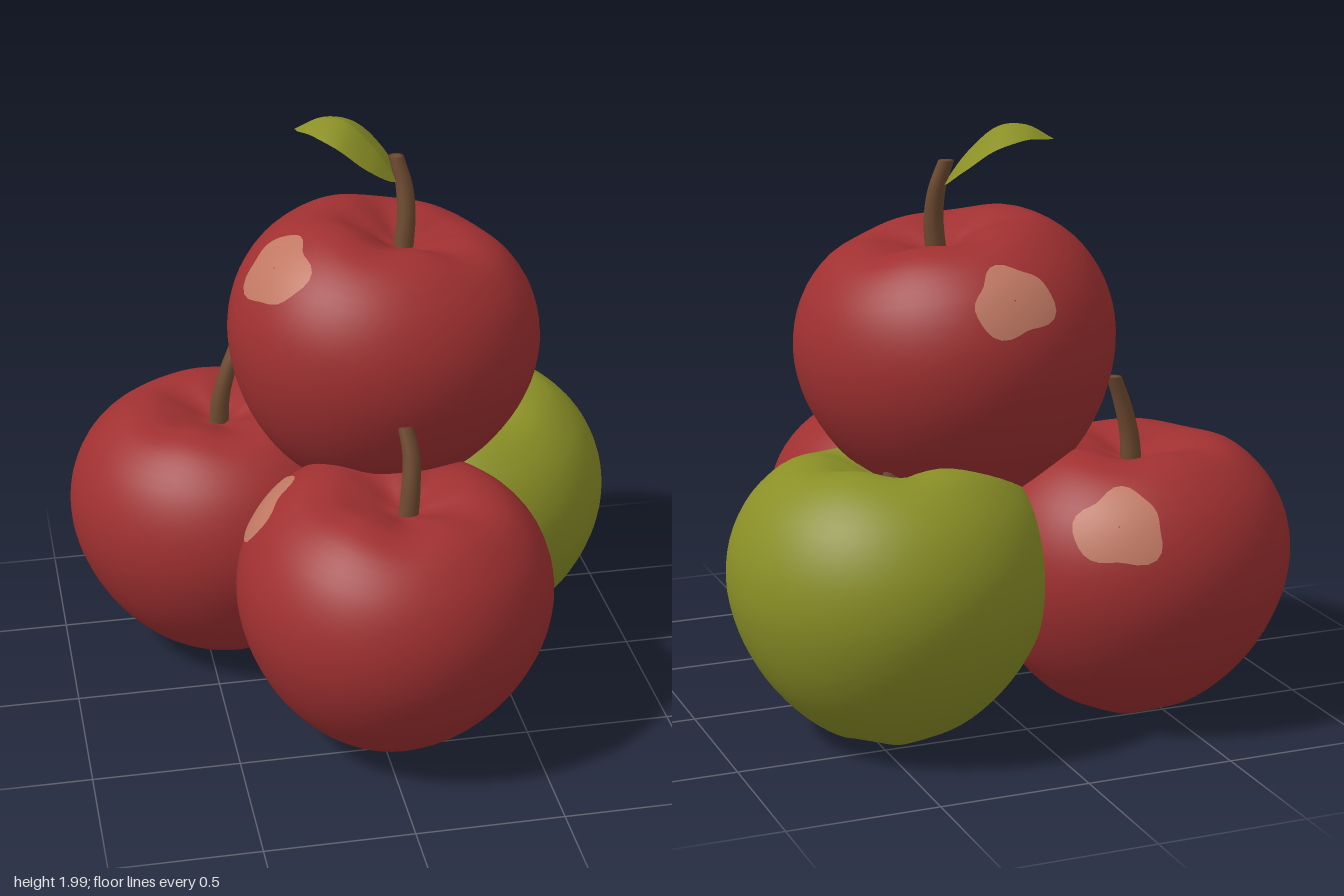
import * as THREE from 'three';
import { ParametricGeometry } from 'three/addons/geometries/ParametricGeometry.js';

const material = (name, color, side = THREE.FrontSide) => {
  const m = new THREE.MeshStandardMaterial({ color, side });
  m.name = name;
  return m;
};

const V = (p) => new THREE.Vector3(...p);
const MID = 0.55; // height of the widest ring above the apple's base

// Half outline of an apple, from the stem dimple down to the bottom dimple
const outline = new THREE.SplineCurve([
  [0.003, 0.86], [0.06, 0.868], [0.14, 0.9], [0.25, 0.925], [0.36, 0.893], [0.465, 0.79], [0.525, 0.65],
  [0.532, 0.5], [0.49, 0.35], [0.41, 0.21], [0.3, 0.095], [0.19, 0.03], [0.1, 0.025], [0.003, 0.06],
].map(([r, y]) => new THREE.Vector2(r, y)));

// Skin point at angle a and outline position t, with soft lobes at both ends
function skin(a, t, phase, target) {
  const p = outline.getPoint(Math.min(Math.max(t, 0), 1));
  const top = Math.exp(-(((t - 0.2) / 0.11) ** 2));
  const bottom = Math.exp(-(((t - 0.9) / 0.07) ** 2));
  const r = p.x * (1 + 0.01 * Math.cos(3 * a + phase));
  const y = p.y - MID + (0.008 * top + 0.01 * bottom) * Math.cos(5 * a + phase);
  return target.set(r * Math.cos(a), y, r * Math.sin(a));
}

const appleGeometry = (phase) =>
  new ParametricGeometry((u, v, p) => skin(u * Math.PI * 2, v, phase, p), 64, 48);

// Thin irregular blotch lying on the skin
const blotchGeometry = ({ a, t, da, dt }, phase) =>
  new ParametricGeometry((u, v, p) => {
    const k = -u * Math.PI * 2;
    const rho = (0.02 + 0.98 * v) * (1 + 0.1 * Math.cos(3 * k + a) + 0.06 * Math.cos(5 * k + 1));
    skin(a + da * rho * Math.cos(k), t + dt * rho * Math.sin(k), phase, p).multiplyScalar(1.008);
  }, 32, 8);

// Tapered stem along a curve, closed at its tip
function stemGeometry(points) {
  const curve = new THREE.CatmullRomCurve3(points.map(V));
  return new ParametricGeometry((u, v, p) => {
    const s = Math.min(v / 0.92, 1);
    const r = (0.036 - 0.01 * s) * (v > 0.92 ? Math.max((1 - v) / 0.08, 0.01) : 1);
    const a = -u * Math.PI * 2;
    p.copy(curve.getPoint(s));
    p.x += r * Math.cos(a);
    p.z += r * Math.sin(a);
  }, 12, 25);
}

// One half of the leaf blade, drooping away from the midrib
function leafHalfGeometry(rib, width) {
  return new ParametricGeometry((u, v, p) => {
    const w = width * v * (0.02 + Math.max(Math.sin(Math.PI * u ** 0.9), 0) ** 0.8);
    p.copy(rib.getPoint(u));
    p.x -= 0.42 * w;
    p.z += 0.9 * w;
    p.y -= 0.2 * Math.abs(w) + 1.2 * w * w;
  }, 20, 8);
}

export function createModel() {
  const model = new THREE.Group();
  model.name = 'applePile';
  const red = material('red skin', 0xa03031);
  const green = material('green skin', 0x8a8f26);
  const blush = material('pale blotch', 0xc07862);
  const brown = material('brown stem', 0x6e4a30);
  const leafGreen = material('leaf green', 0x8a8f26, THREE.DoubleSide);

  const add = (parent, name, geometry, mat) => {
    const mesh = new THREE.Mesh(geometry, mat);
    mesh.name = name;
    parent.add(mesh);
  };

  const apples = [
    {
      name: 'frontApple', skin: red, at: [0.055, MID, 0.37], tilt: [0.07, -0.07], phase: 0.6,
      blotches: [{ a: 3.55, t: 0.39, da: 0.32, dt: 0.065 }],
      stem: [[0.09, 0.84, 0.41], [0.1, 0.95, 0.405], [0.105, 1.06, 0.38], [0.092, 1.15, 0.345]],
    },
    {
      name: 'backRightApple', skin: red, at: [-0.425, MID, -0.375], tilt: [0, 0], phase: 2.2,
      blotches: [{ a: -1.06, t: 0.4, da: 0.29, dt: 0.065 }],
      stem: [[-0.43, 0.84, -0.37], [-0.42, 0.95, -0.37], [-0.39, 1.06, -0.375], [-0.355, 1.15, -0.385]],
    },
    {
      name: 'backLeftApple', skin: green, at: [0.42, MID, -0.34], tilt: [0.05, 0.03], phase: 3.9,
      blotches: [],
      stem: [[0.41, 0.83, -0.33], [0.4, 0.92, -0.33], [0.39, 1.0, -0.32]],
    },
    {
      name: 'topApple', skin: red, at: [0.115, 1.27, -0.155], tilt: [0, -0.19], phase: 5,
      blotches: [{ a: 2.82, t: 0.385, da: 0.32, dt: 0.065 }, { a: -1.67, t: 0.4, da: 0.27, dt: 0.06 }],
      stem: [[0.185, 1.56, -0.155], [0.197, 1.68, -0.165], [0.193, 1.78, -0.185], [0.17, 1.875, -0.21]],
    },
  ];

  for (const a of apples) {
    const apple = new THREE.Group();
    apple.name = a.name;
    apple.position.set(...a.at);
    apple.rotation.set(a.tilt[0], 0, a.tilt[1]);
    add(apple, 'skin', appleGeometry(a.phase), a.skin);
    a.blotches.forEach((b) => add(apple, 'blotch', blotchGeometry(b, a.phase), blush));
    model.add(apple);
    add(model, a.name + 'Stem', stemGeometry(a.stem), brown);
  }

  // Leaf on the top stem: two blade halves meeting at a creased midrib
  const rib = new THREE.CatmullRomCurve3([
    [0.175, 1.79, -0.19], [0.1, 1.9, -0.22], [0.01, 1.985, -0.265], [-0.07, 1.99, -0.305], [-0.15, 1.945, -0.34],
  ].map(V));
  const leaf = new THREE.Group();
  leaf.name = 'leaf';
  add(leaf, 'frontBlade', leafHalfGeometry(rib, 0.13), leafGreen);
  add(leaf, 'backBlade', leafHalfGeometry(rib, -0.15), leafGreen);
  model.add(leaf);

  return model;
}
